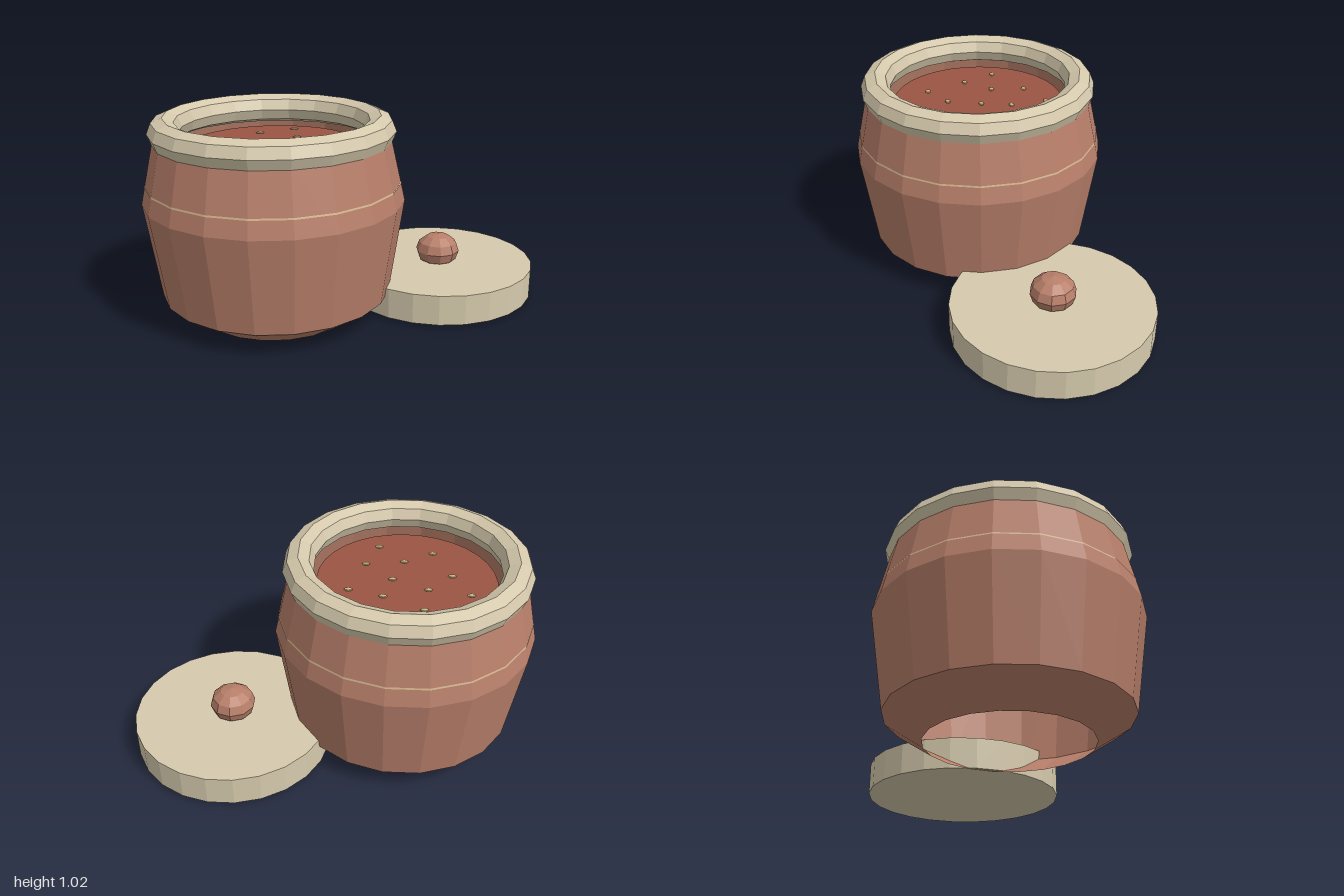
import * as THREE from 'three';

const SIDES = 20;
const HALF_STEP = Math.PI / SIDES; // turns a flat facet toward the front

function mat(color, side = THREE.FrontSide) {
  return new THREE.MeshStandardMaterial({ color, flatShading: true, side });
}

function add(parent, name, geometry, material, x = 0, y = 0, z = 0) {
  const mesh = new THREE.Mesh(geometry, material);
  mesh.name = name;
  mesh.position.set(x, y, z);
  parent.add(mesh);
  return mesh;
}

export function createModel() {
  const model = new THREE.Group();
  model.name = 'openJarWithLid';

  const clay = mat(0xb87f6a);
  const clayWall = mat(0xb87f6a, THREE.DoubleSide);
  const cream = mat(0xd6caad);
  const paste = mat(0x9a5443);
  const seedMat = mat(0xc9b183);

  // Jar
  const jar = new THREE.Group();
  jar.name = 'jar';
  jar.position.set(-0.36, 0, 0.03);
  model.add(jar);

  // Thin wall, open at both ends
  const profile = [[0.39, 0], [0.573, 0.12], [0.645, 0.6], [0.577, 0.9]]
    .map(([r, y]) => new THREE.Vector2(r, y));
  const wall = new THREE.LatheGeometry(profile, SIDES);
  wall.rotateY(HALF_STEP);
  add(jar, 'jarWall', wall, clayWall);

  // Rounded octagonal rim
  const rim = new THREE.TorusGeometry(0.525, 0.075, 8, SIDES);
  rim.rotateX(Math.PI / 2).rotateY(HALF_STEP);
  add(jar, 'rim', rim, cream, 0, 0.942, 0);

  // Fine decorative line around the shoulder
  const band = new THREE.CylinderGeometry(0.6255, 0.628, 0.008, SIDES, 1, true);
  band.rotateY(HALF_STEP);
  add(jar, 'shoulderLine', band, mat(0xd2b48c), 0, 0.69, 0);

  // Contents, set just inside the mouth
  add(jar, 'contents', new THREE.CylinderGeometry(0.438, 0.438, 0.015, 32), paste, 0, 0.852, 0);

  // Scattered seeds, as x, z offsets from the jar's axis
  const seeds = [
    [0.1, -0.34], [-0.075, -0.26], [-0.3, -0.13], [-0.1, -0.09],
    [0.115, -0.155], [0.28, -0.105], [0.07, -0.005], [-0.22, 0.035],
    [0.2, 0.13], [0.01, 0.16], [-0.135, 0.245], [0.135, 0.3],
  ];
  const seedShape = new THREE.SphereGeometry(1, 8, 6);
  seedShape.scale(0.021, 0.008, 0.014);
  for (const [x, z] of seeds) add(jar, 'seed', seedShape, seedMat, x, 0.862, z);

  // Lid lying beside the jar
  const lid = new THREE.Group();
  lid.name = 'lid';
  lid.position.set(0.5, 0, -0.175);
  model.add(lid);

  const disc = new THREE.CylinderGeometry(0.5, 0.5, 0.155, 24);
  disc.rotateY(HALF_STEP * 0.83);
  add(lid, 'lidDisc', disc, cream, 0, 0.0875, 0);

  const knob = new THREE.SphereGeometry(1, 10, 6);
  knob.rotateY(Math.PI / 2).scale(0.115, 0.09, 0.115);
  add(lid, 'lidKnob', knob, clay, 0, 0.22, 0);

  return model;
}
